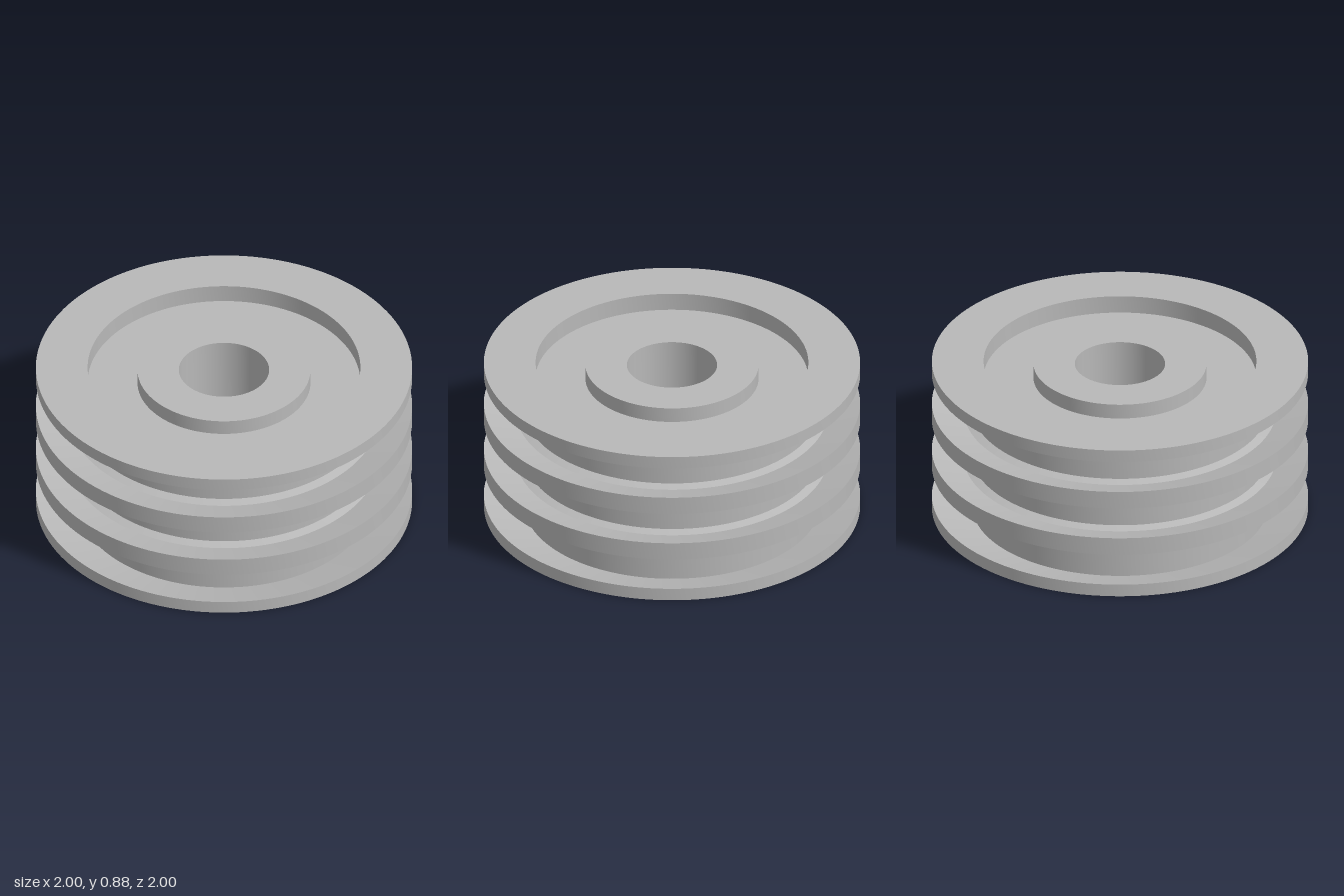
import * as THREE from 'three';
import { toCreasedNormals } from 'three/addons/utils/BufferGeometryUtils.js';

const HEIGHT = 0.88, MID = HEIGHT / 2;
const RIM = 1, CORE = 0.785, RECESS = 0.725, HUB = 0.46, BORE = 0.24;
const RECESS_DEPTH = 0.098, HUB_INSET = 0.015;
const PITCH = 0.28, HALF_GAP = 0.09, UNDERCUT = 0.063;

export function createModel() {
  const group = new THREE.Group();
  const steel = new THREE.MeshStandardMaterial({ color: 0xb8b8b8 });
  steel.name = 'grey steel';

  // Revolve [radius, height] points; outer walls run upward
  const turn = (name, points) => {
    const lathe = new THREE.LatheGeometry(points.map(([r, y]) => new THREE.Vector2(r, y)), 128);
    const mesh = new THREE.Mesh(toCreasedNormals(lathe, 0.35), steel);
    mesh.name = name;
    group.add(mesh);
  };

  // Grooved rim: three undercut grooves whose flanks meet inside each middle flange
  const halfFlange = PITCH / 2 - HALF_GAP;
  const neck = RIM - (RIM - CORE) * halfFlange / UNDERCUT;
  const rim = [[RECESS, RECESS_DEPTH], [RECESS, 0], [RIM, 0]];
  for (let i = -1; i <= 1; i++) {
    const c = MID + i * PITCH;
    const low = c - HALF_GAP, high = c + HALF_GAP;
    rim.push([RIM, low]);
    if (i > -1) rim.push([neck, c - PITCH / 2], [CORE, low - 2 * halfFlange + UNDERCUT]);
    else rim.push([CORE, low - UNDERCUT]);
    if (i < 1) rim.push([CORE, high + 2 * halfFlange - UNDERCUT], [neck, c + PITCH / 2]);
    else rim.push([CORE, high + UNDERCUT]);
    rim.push([RIM, high]);
  }
  rim.push([RIM, HEIGHT], [RECESS, HEIGHT], [RECESS, HEIGHT - RECESS_DEPTH]);
  turn('groovedRim', rim);

  // Web faces at the bottom of the recesses
  turn('upperWeb', [[RECESS, HEIGHT - RECESS_DEPTH], [HUB, HEIGHT - RECESS_DEPTH]]);
  turn('lowerWeb', [[HUB, RECESS_DEPTH], [RECESS, RECESS_DEPTH]]);

  // Hub with a through bore
  turn('hub', [
    [HUB, HEIGHT - RECESS_DEPTH], [HUB, HEIGHT - HUB_INSET], [BORE, HEIGHT - HUB_INSET],
    [BORE, HUB_INSET], [HUB, HUB_INSET], [HUB, RECESS_DEPTH],
  ]);

  return group;
}
